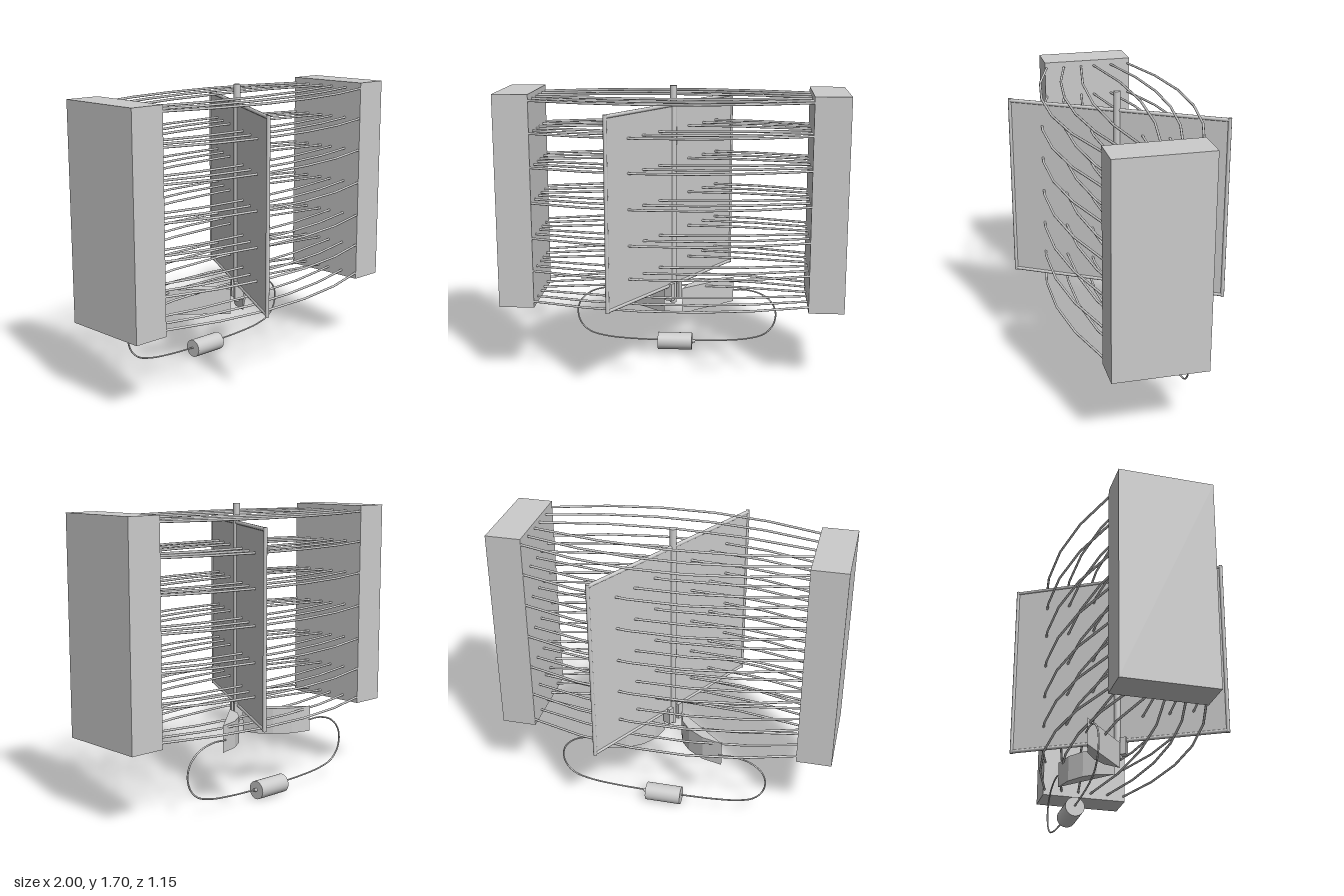
import * as THREE from 'three';

const grey = new THREE.MeshStandardMaterial({ color: 0xcccccc });
const faceted = new THREE.MeshStandardMaterial({ color: 0xcccccc, flatShading: true });

function add(parent, name, geometry, x = 0, y = 0, z = 0, material = grey) {
  const mesh = new THREE.Mesh(geometry, material);
  mesh.name = name;
  mesh.position.set(x, y, z);
  parent.add(mesh);
  return mesh;
}

function group(parent, name) {
  const g = new THREE.Group();
  g.name = name;
  parent.add(g);
  return g;
}

// Tube with one straight segment between each pair of points
function rod(points, radius, sides) {
  const curve = new THREE.CatmullRomCurve3(points.map(p => new THREE.Vector3(...p)));
  curve.getPointAt = (t, target) => curve.getPoint(t, target);
  curve.getTangentAt = (t, target) => curve.getTangent(t, target);
  return new THREE.TubeGeometry(curve, points.length - 1, radius, sides);
}

export function createModel() {
  const model = new THREE.Group();
  model.name = 'electricGenerator';

  // Pole magnets
  for (const s of [1, -1]) {
    add(model, s > 0 ? 'leftMagnet' : 'rightMagnet', new THREE.BoxGeometry(0.205, 1.24, 0.54), s * 0.8975, 1.05, 0);
  }

  // Field lines, bowed outward between the magnets
  const field = group(model, 'fieldLines');
  const outer = [-0.8, -0.48, -0.16, 0.16, 0.48, 0.8];
  const inner = [-0.8, -0.4, 0, 0.4, 0.8];
  const rows = [
    [outer, [0.26, 0.355, 0.402, 0.402, 0.355, 0.26]],
    [outer, [0.15, 0.23, 0.27, 0.27, 0.23, 0.15]],
    [inner, [0.04, 0.112, 0.136, 0.112, 0.04]],
  ];
  for (const [xs, zs] of rows) {
    for (const s of [1, -1]) {
      const geometry = rod(xs.map((x, i) => [x, 0, s * zs[i]]), 0.007, 8);
      for (const y of [0.465, 0.65, 0.843, 1.05, 1.255, 1.45, 1.635]) add(field, 'fieldLine', geometry, 0, y, 0);
    }
  }

  // Rotor: panel, wire frame, shaft and commutator, turned 60 degrees
  const rotor = group(model, 'rotor');
  rotor.rotation.y = Math.PI / 3;
  add(rotor, 'coilPanel', new THREE.BoxGeometry(1.3, 1.08, 0.008), 0, 1.05, 0);
  const r = 0.011;
  for (const s of [1, -1]) {
    add(rotor, 'frameSide', new THREE.CylinderGeometry(r, r, 1.1, 10), s * 0.649, 1.05, 0);
    add(rotor, 'frameBar', new THREE.CylinderGeometry(r, r, 1.298, 10), 0, 1.05 + s * 0.539, 0).rotation.z = Math.PI / 2;
    add(rotor, 'commutatorSegment', new THREE.BoxGeometry(0.034, 0.105, 0.052), s * 0.04, 0.473, 0);
  }
  add(rotor, 'shaft', new THREE.CylinderGeometry(0.02, 0.02, 1.3, 20), 0, 1.05, 0);

  // Crescent-shaped brushes
  const profile = [[0.054, 0], [0.085, -0.1], [0.14, -0.17], [0.235, -0.235], [0.357, -0.268]];
  for (const s of [1, -1]) {
    const shape = new THREE.Shape(profile.map(([x, z]) => new THREE.Vector2(s * x, -z)));
    const geometry = new THREE.ExtrudeGeometry(shape, { depth: 0.155, bevelEnabled: false });
    geometry.rotateX(-Math.PI / 2);
    add(model, s > 0 ? 'leftBrush' : 'rightBrush', geometry, 0, 0.328, 0, faceted);
  }

  // Looping wires from the brushes to the load
  const loop = [[0.34, 0.4], [0.44, 0.4], [0.54, 0.37], [0.605, 0.31], [0.625, 0.24],
    [0.605, 0.165], [0.55, 0.11], [0.45, 0.08], [0.3, 0.065], [0.09, 0.058]];
  for (const s of [1, -1]) {
    const curve = new THREE.CatmullRomCurve3(loop.map(([x, y]) => new THREE.Vector3(s * x, y, -0.272)));
    add(model, s > 0 ? 'leftWire' : 'rightWire', new THREE.TubeGeometry(curve, 48, 0.005, 8));
  }

  // Cylindrical load with a small terminal
  add(model, 'load', new THREE.CylinderGeometry(0.054, 0.054, 0.215, 32), -0.008, 0.054, -0.272).rotation.z = Math.PI / 2;
  add(model, 'loadTerminal', new THREE.CylinderGeometry(0.01, 0.01, 0.02, 12), 0.108, 0.056, -0.272).rotation.z = Math.PI / 2;

  return model;
}
